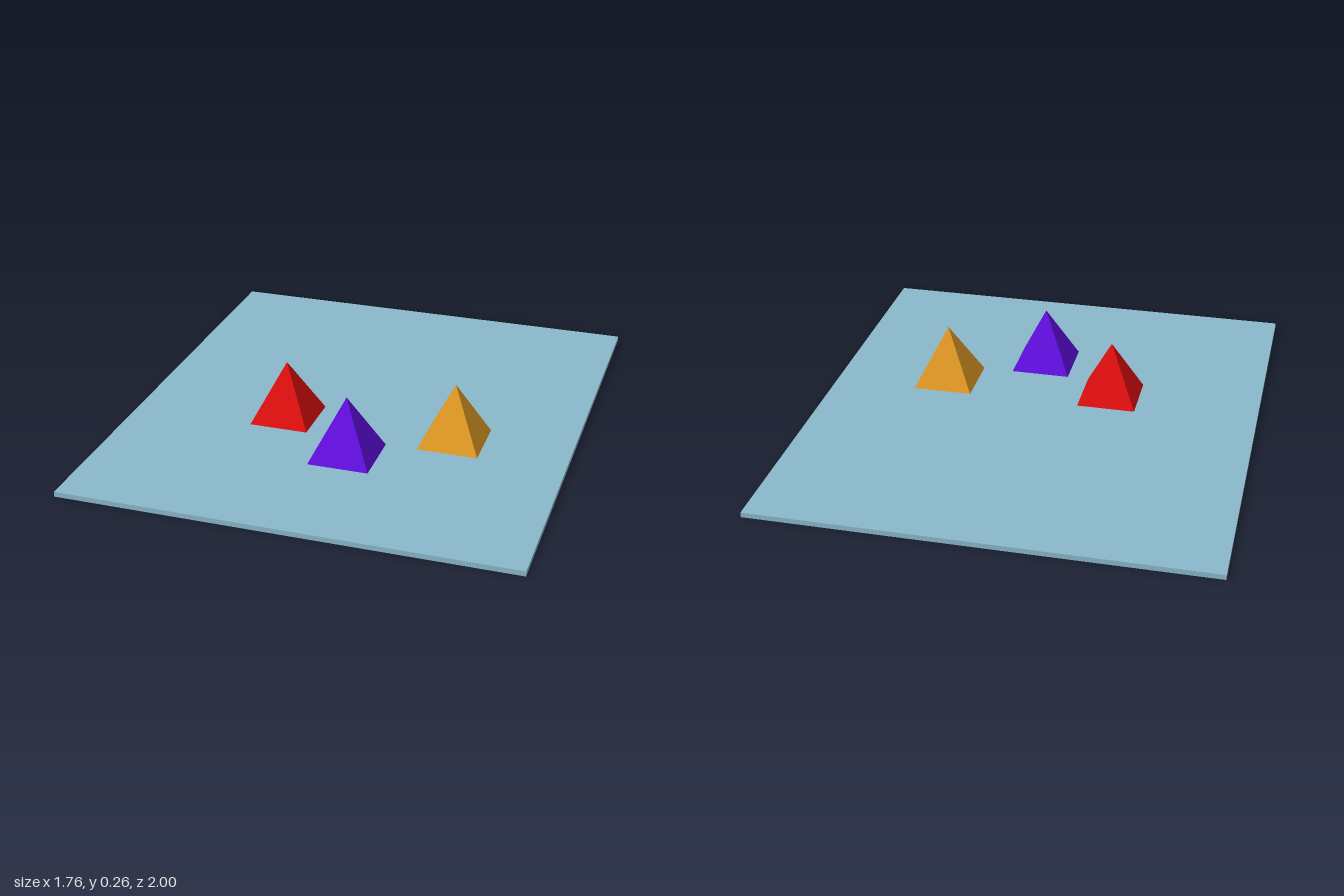
import * as THREE from 'three';

const material = (name, color) => {
  const m = new THREE.MeshStandardMaterial({ color, flatShading: true });
  m.name = name;
  return m;
};

const SLAB_TOP = 0.02;

// Square pyramid with its sides parallel to x and z, resting on the slab
function pyramid(name, mat, x, z, size, height) {
  const geometry = new THREE.ConeGeometry(size / Math.SQRT2, height, 4, 1);
  geometry.rotateY(Math.PI / 4);
  geometry.translate(0, height / 2, 0);
  const mesh = new THREE.Mesh(geometry, mat);
  mesh.name = name;
  mesh.position.set(x, SLAB_TOP, z);
  return mesh;
}

export function createModel() {
  const model = new THREE.Group();
  model.name = 'pyramidsOnBoard';

  // Thin base board
  const board = new THREE.Mesh(
    new THREE.BoxGeometry(1.764, SLAB_TOP, 2),
    material('paleBlue', 0x8ab8cb)
  );
  board.name = 'baseBoard';
  board.position.y = SLAB_TOP / 2;
  model.add(board);

  // Three pyramids
  model.add(
    pyramid('redPyramid', material('red', 0xe00e0e), -0.27, 0.168, 0.236, 0.238),
    pyramid('purplePyramid', material('purple', 0x620ee0), 0.056, 0.406, 0.24, 0.244),
    pyramid('orangePyramid', material('orange', 0xe09824), 0.421, 0.169, 0.239, 0.24)
  );
  return model;
}
